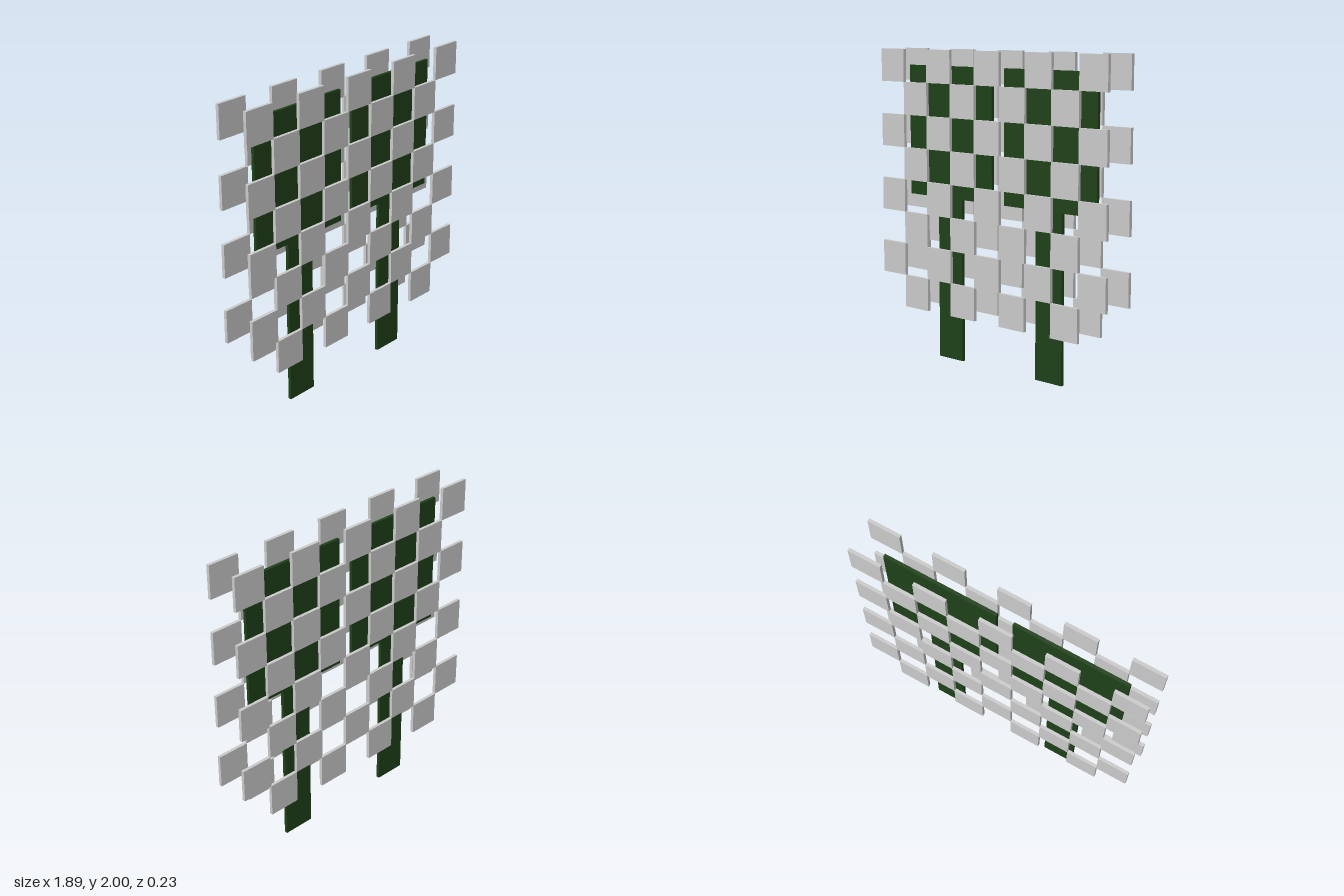
import * as THREE from 'three';

const U = 2 / 9.5; // one checker square

const grey = new THREE.MeshStandardMaterial({ color: 0xcccccc });
const green = new THREE.MeshStandardMaterial({ color: 0x1f4119 });

// Box in checker units, placed by its centre
function slab(name, w, h, x, y, z, material) {
  const mesh = new THREE.Mesh(new THREE.BoxGeometry(w * U, h * U, 0.1 * U), material);
  mesh.position.set(x * U, y * U, z * U);
  mesh.name = name;
  return mesh;
}

// Checkerboard of separate thin tiles, 9 columns by 8 rows
function checkerScreen(name, z) {
  const screen = new THREE.Group();
  screen.name = name;
  for (let row = 0; row < 8; row++) {
    for (let col = -4; col <= 4; col++) {
      if ((row + col + 8) % 2 === 1) screen.add(slab('tile', 1, 1, col, row + 2, z, grey));
    }
  }
  return screen;
}

// Flat tree: rectangular crown on a square-edged trunk
function tree(name, x) {
  const group = new THREE.Group();
  group.name = name;
  group.add(slab('crown', 3.5, 4, x, 7, 0, green));
  group.add(slab('trunk', 1, 5, x, 2.5, 0, green));
  return group;
}

export function createModel() {
  const model = new THREE.Group();
  model.name = 'checkerTreePanel';
  model.add(checkerScreen('frontScreen', 0.5), checkerScreen('backScreen', -0.5));
  model.add(tree('leftTree', 2), tree('rightTree', -2));
  return model;
}
